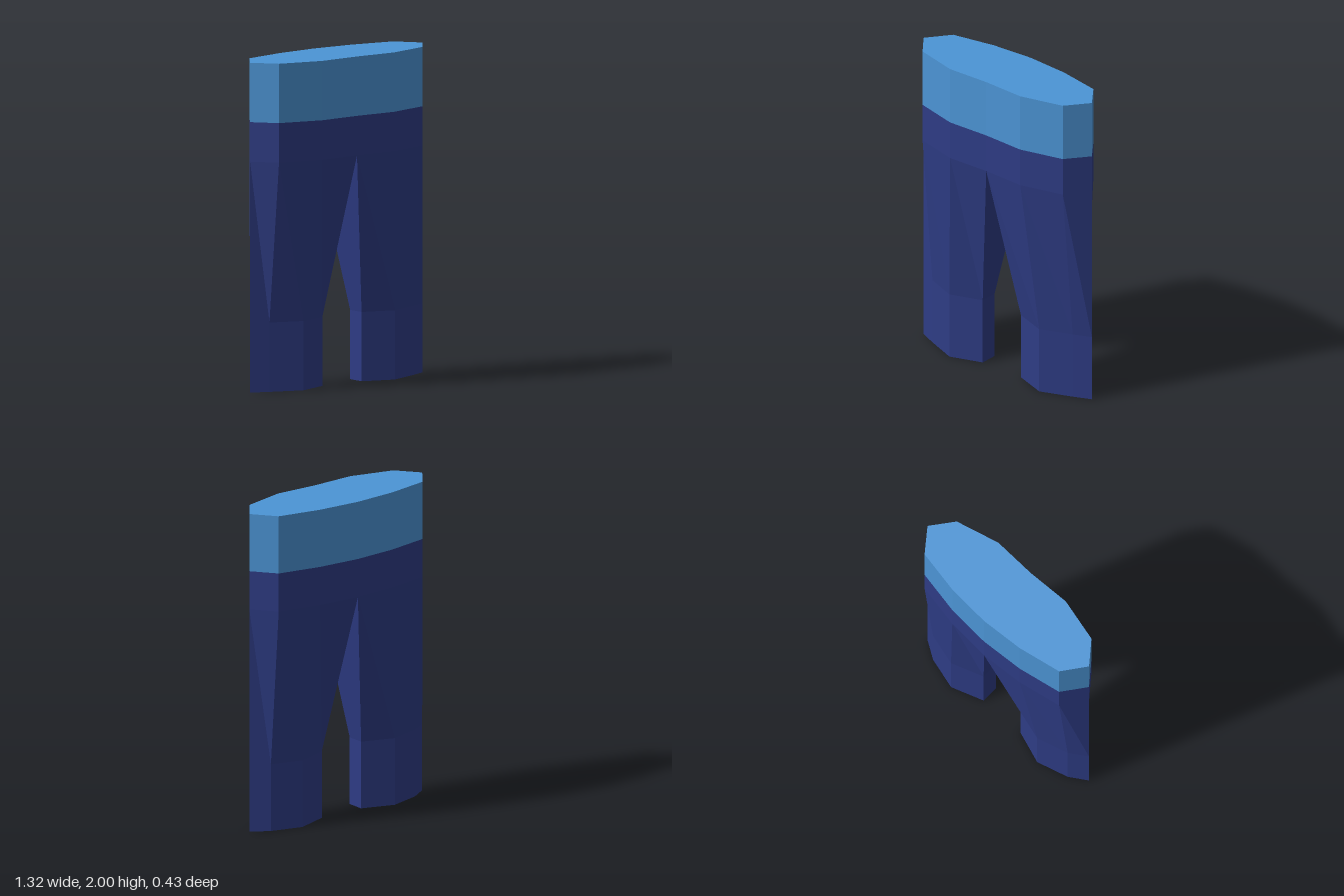
import * as THREE from 'three';

// Cross-sections as [x, z], running from the left side round the front.
const HIP = [
  [0.66, 0], [0.55, 0.14], [0.275, 0.21], [0, 0.2], [-0.275, 0.21], [-0.55, 0.14],
  [-0.66, 0], [-0.55, -0.145], [-0.275, -0.197], [0, -0.215], [0.275, -0.197], [0.55, -0.145],
];
const THIGH = [...HIP.slice(0, 4), ...HIP.slice(9)];
const ANKLE = [
  [0.66, 0], [0.55, 0.048], [0.352, 0.125], [0.15, 0.055],
  [0.15, -0.055], [0.352, -0.125], [0.55, -0.07],
];

// Joins rings listed from top to bottom, with optional end caps.
function loft(rings, { top = false, bottom = false } = {}) {
  const pos = [];
  const tri = (...corners) => corners.forEach((c) => pos.push(...c));
  const sections = rings.map(([y, ring]) => ring.map(([x, z]) => [x, y, z]));
  const n = sections[0].length;
  const centre = (s) => [0, 1, 2].map((k) => s.reduce((sum, p) => sum + p[k], 0) / n);
  const last = sections[sections.length - 1];
  for (let i = 0; i < n; i++) {
    const j = (i + 1) % n;
    for (let s = 0; s < sections.length - 1; s++) {
      const up = sections[s], low = sections[s + 1];
      tri(low[i], up[i], up[j]);
      tri(low[i], up[j], low[j]);
    }
    if (top) tri(centre(sections[0]), sections[0][j], sections[0][i]);
    if (bottom) tri(centre(last), last[i], last[j]);
  }
  const geo = new THREE.BufferGeometry();
  geo.setAttribute('position', new THREE.Float32BufferAttribute(pos, 3));
  geo.computeVertexNormals(); // unshared corners give flat facets
  return geo;
}

// Mirrors a ring across x while keeping its direction.
const mirror = (ring) => ring.map(([x, z]) => [-x, z]).reverse();

export function createModel() {
  const group = new THREE.Group();
  group.name = 'trousers';
  const lightBlue = new THREE.MeshStandardMaterial({ color: 0x4c95d6 });
  lightBlue.name = 'light blue';
  const navy = new THREE.MeshStandardMaterial({ color: 0x2e3c85 });
  navy.name = 'navy blue';

  const add = (name, geometry, material) => {
    const mesh = new THREE.Mesh(geometry, material);
    mesh.name = name;
    group.add(mesh);
  };

  // Waist and hips
  add('waistband', loft([[2, HIP], [1.64, HIP]], { top: true }), lightBlue);
  add('hips', loft([[1.64, HIP], [1.4, HIP]]), navy);

  // Legs: tapering thigh, then a straight cuff
  for (const [name, side] of [['leftLeg', (r) => r], ['rightLeg', mirror]]) {
    const rings = [[1.4, side(THIGH)], [0.42, side(ANKLE)], [0, side(ANKLE)]];
    add(name, loft(rings, { bottom: true }), navy);
  }
  return group;
}
